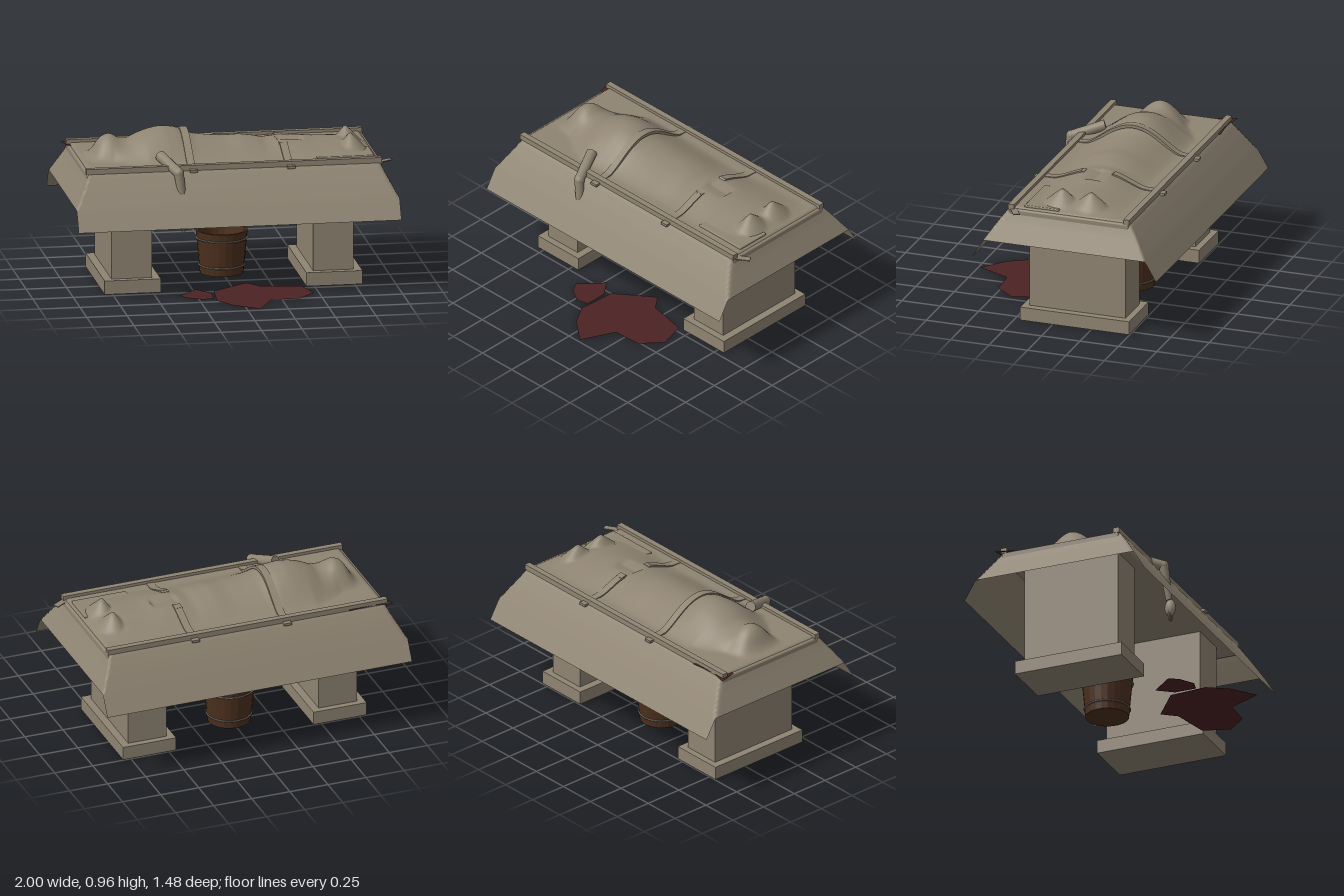
import * as THREE from 'three';
import { toCreasedNormals } from 'three/addons/utils/BufferGeometryUtils.js';
import { RoundedBoxGeometry } from 'three/addons/geometries/RoundedBoxGeometry.js';

const MID = -0.145; // z of the table's long centre line

const mat = (name, color, side = THREE.FrontSide) => {
  const m = new THREE.MeshStandardMaterial({ color, side });
  m.name = name;
  return m;
};

// Linear interpolation through [x, value] pairs
function lerpTable(table, x) {
  if (x <= table[0][0]) return table[0][1];
  for (let i = 1; i < table.length; i++) {
    const [x0, a] = table[i - 1], [x1, b] = table[i];
    if (x <= x1) return a + (b - a) * (x - x0) / (x1 - x0);
  }
  return table[table.length - 1][1];
}

// Crest of the covered figure, its half width, and the two hanging flanks
const CREST = [[-0.87, 0.78], [-0.83, 0.8], [-0.77, 0.905], [-0.71, 0.928], [-0.65, 0.89], [-0.6, 0.885],
  [-0.53, 0.92], [-0.45, 0.947], [-0.38, 0.957], [-0.3, 0.945], [-0.2, 0.9], [-0.1, 0.885], [0, 0.875],
  [0.1, 0.88], [0.2, 0.865], [0.24, 0.852], [0.35, 0.865], [0.45, 0.86], [0.55, 0.846], [0.7, 0.84], [0.8, 0.82], [0.88, 0.782]];
const WIDTH = [[-0.85, 0.16], [-0.7, 0.19], [-0.6, 0.26], [-0.5, 0.31], [-0.25, 0.31], [0, 0.3], [0.3, 0.29], [0.55, 0.32], [0.8, 0.32]];
const SIDE = [[0.3, 1.1], [0.36, 0.787], [0.395, 0.77], [0.41, 0.75], [0.46, 0.68], [0.52, 0.589], [0.6, 0.455]];
const END = [[0.8, 1.2], [0.88, 0.787], [0.905, 0.77], [0.92, 0.728], [1, 0.578]];

function sheetHeight(x, z) {
  const d = Math.abs(z - MID);
  const crest = (lerpTable(CREST, x - 0.015) + lerpTable(CREST, x) + lerpTable(CREST, x + 0.015)) / 3;
  const k = Math.max(0, 1 - (d / lerpTable(WIDTH, x)) ** 2);
  let body = 0.783 + (crest - 0.783) * k ** 1.6;
  // dip between the knees
  if (x > 0.32 && x < 0.48 && d < 0.075) body -= 0.02 * (1 - d / 0.075);
  // pointed feet
  const foot = Math.hypot((x - 0.765) * (x > 0.765 ? 1.1 : 1.4), (d - 0.093) * 0.9);
  body = Math.max(body, 0.897 - foot * 0.95);
  return Math.min(body, lerpTable(SIDE, d), lerpTable(END, Math.abs(x)));
}

export function createModel() {
  const root = new THREE.Group();
  root.name = 'drapedTable';
  const stone = mat('stone grey', 0x8f8472);
  const cloth = mat('cloth grey', 0x8f8472, THREE.DoubleSide);
  const wood = mat('bucket wood', 0x4c301d);
  const metal = mat('band metal', 0x67635c);
  const red = mat('dark red', 0x4c2224, THREE.DoubleSide);

  const add = (name, geo, m, x = 0, y = 0, z = 0) => {
    const mesh = new THREE.Mesh(geo, m);
    mesh.name = name;
    mesh.position.set(x, y, z);
    root.add(mesh);
    return mesh;
  };
  // Box given by its limits on each axis
  const box = (name, m, x0, x1, y0, y1, z0, z1) =>
    add(name, new THREE.BoxGeometry(x1 - x0, y1 - y0, z1 - z0), m, (x0 + x1) / 2, (y0 + y1) / 2, (z0 + z1) / 2);
  // Tapered limb between two points
  const limb = (name, a, b, ra, rb, m) => {
    const p = new THREE.Vector3(...a), q = new THREE.Vector3(...b);
    const dir = q.clone().sub(p);
    const mesh = add(name, new THREE.CylinderGeometry(rb, ra, dir.length(), 14), m);
    mesh.position.copy(p).add(q).multiplyScalar(0.5);
    mesh.quaternion.setFromUnitVectors(new THREE.Vector3(0, 1, 0), dir.normalize());
  };

  // Pedestals
  for (const s of [-1, 1]) {
    const x = s * 0.625;
    box('pedestal', stone, x - 0.125, x + 0.125, 0.08, 0.74, -0.455, 0.17);
    box('pedestalBase', stone, x - 0.174, x + 0.174, 0, 0.085, -0.495, 0.213);
  }

  // Table slab, side rails and end bars
  add('tableSlab', new RoundedBoxGeometry(1.81, 0.05, 0.77, 2, 0.015), stone, 0, 0.742, MID);
  for (const s of [-1, 1]) {
    box('sideRail', stone, -0.918, 0.914, 0.768, 0.802, MID + s * 0.375 - 0.019, MID + s * 0.375 + 0.019);
    add('endBar', new RoundedBoxGeometry(0.034, 0.056, 0.78, 2, 0.012), stone, s * 0.899, 0.746, MID);
  }

  // Sheet over the figure, falling away past the table edges
  const sheet = new THREE.PlaneGeometry(2, 1.2, 140, 96).rotateX(-Math.PI / 2).translate(0, 0, MID);
  const pos = sheet.attributes.position;
  for (let i = 0; i < pos.count; i++) pos.setY(i, sheetHeight(pos.getX(i), pos.getZ(i)));
  sheet.computeVertexNormals();
  add('sheet', sheet, cloth);

  // Straps across the figure with tabs outside the rails
  for (const [x, lift, dip] of [[-0.255, 0.016, 0], [0.348, 0.008, 0.03]]) {
    const top = [], under = [];
    for (let i = 0; i <= 24; i++) {
      const z = MID - 0.36 + 0.72 * i / 24;
      const d = Math.abs(z - MID) / 0.36;
      const y = sheetHeight(x, z) + lift * (1 - d * d) + 0.003 - (d < 0.25 ? dip : 0);
      top.push(new THREE.Vector2(z, y));
      under.unshift(new THREE.Vector2(z, y - 0.02));
    }
    const strap = new THREE.ExtrudeGeometry(new THREE.Shape([...top, ...under]), { depth: 0.048, bevelEnabled: false });
    add('strap', strap.rotateY(-Math.PI / 2), stone, x + 0.024);
    for (const s of [-1, 1])
      box('strapTab', stone, x - 0.024, x + 0.024, 0.762, 0.778, MID + s * 0.405 - 0.02, MID + s * 0.405 + 0.02);
  }
  for (const z of [-0.257, -0.035]) box('buckle', stone, 0.322, 0.372, 0.815, 0.853, z - 0.014, z + 0.014);

  // Tray and thin blade by the feet
  add('tray', new RoundedBoxGeometry(0.355, 0.022, 0.225, 2, 0.006), stone, 0.705, 0.785, 0.042);
  const blade = box('blade', stone, 0.89, 0.99, 0.766, 0.772, 0.175, 0.215);
  blade.rotation.y = 0.55;

  // Arm hanging over the edge
  const elbow = [-0.355, 0.77, 0.302], wrist = [-0.325, 0.545, 0.325];
  limb('upperArm', [-0.437, 0.834, 0.11], elbow, 0.034, 0.031, stone);
  add('elbow', new THREE.SphereGeometry(0.032, 14, 10), stone, ...elbow);
  limb('forearm', elbow, wrist, 0.031, 0.02, stone);
  add('hand', new THREE.SphereGeometry(1, 14, 10).scale(0.026, 0.057, 0.036), stone, -0.32, 0.495, 0.33);
  for (let i = 0; i < 4; i++) {
    const x = -0.337 + i * 0.012;
    limb('finger', [x, 0.465, 0.33], [x, i === 3 ? 0.418 : 0.41, 0.33], 0.006, 0.005, stone);
  }

  // Bucket with metal bands
  const profile = [[0, 0], [0.134, 0], [0.159, 0.27], [0.144, 0.27], [0.12, 0.02], [0, 0.02]].map(p => new THREE.Vector2(...p));
  add('bucket', toCreasedNormals(new THREE.LatheGeometry(profile, 22), 0.2), wood, 0, 0, -0.23);
  for (const [y, r] of [[0.052, 0.14], [0.222, 0.157]])
    add('bucketBand', new THREE.TorusGeometry(r, 0.006, 6, 32).rotateX(Math.PI / 2), metal, 0, y, -0.23);

  // Puddles on the floor and a stain at the table corner
  const puddle = (name, y, pts) =>
    add(name, new THREE.ShapeGeometry(new THREE.Shape(pts.map(([x, z]) => new THREE.Vector2(x, -z)))).rotateX(-Math.PI / 2), red, 0, y);
  puddle('largePuddle', 0.004, [[-0.13, 0.25], [0.1, 0.08], [0.17, 0.17], [0.42, 0.22], [0.47, 0.39],
    [0.36, 0.515], [0.18, 0.525], [0.08, 0.735], [-0.07, 0.62], [-0.15, 0.49]]);
  puddle('smallPuddle', 0.004, [[-0.325, 0.39], [-0.355, 0.33], [-0.23, 0.19], [-0.155, 0.29], [-0.155, 0.43], [-0.23, 0.45]]);
  puddle('cornerStain', 0.776, [[-0.945, -0.568], [-0.83, -0.538], [-0.66, -0.557], [-0.69, -0.5], [-0.885, -0.5], [-0.885, -0.44], [-0.915, -0.45]]);

  return root;
}
